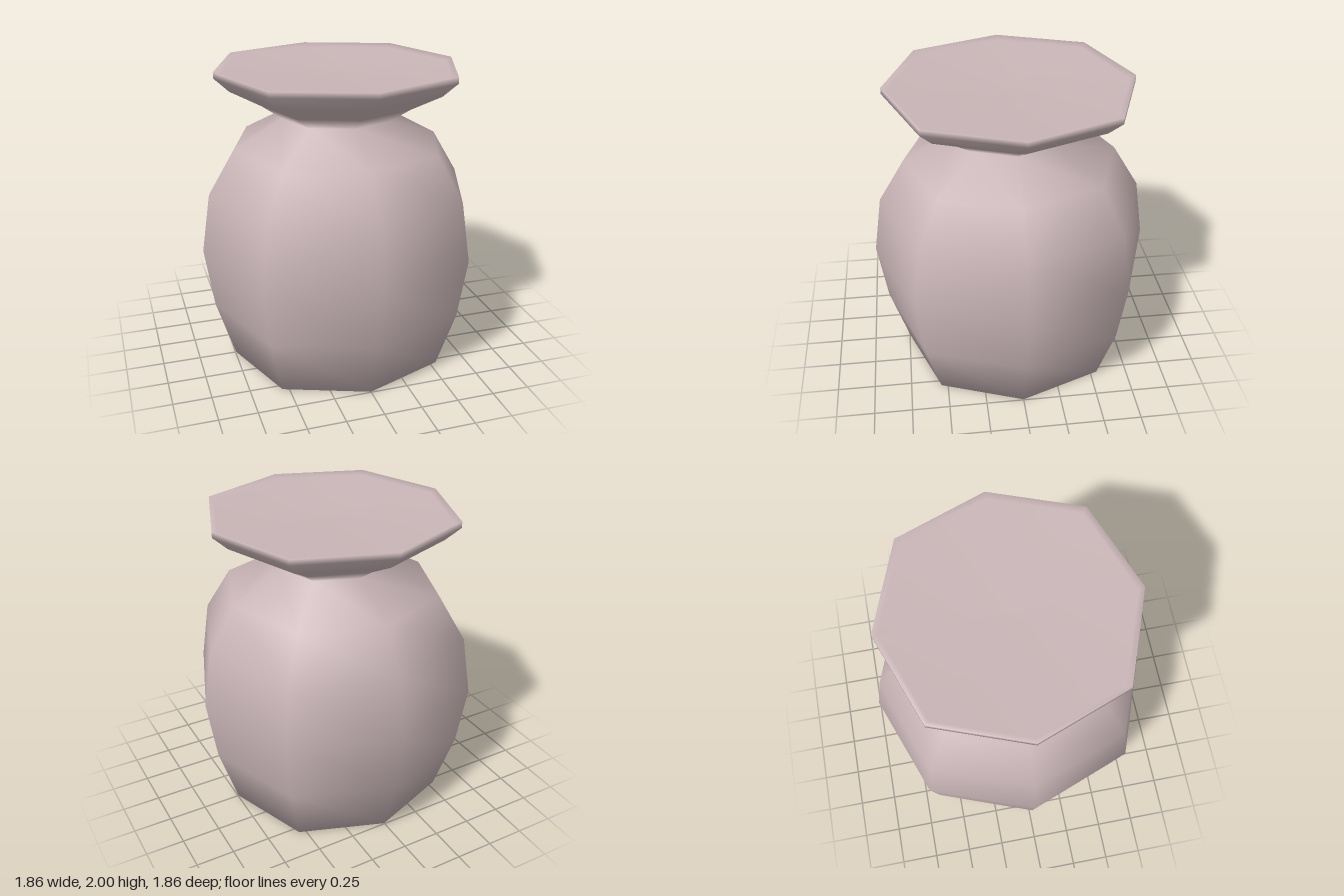
import * as THREE from 'three';

// Eight-sided pot with smooth normals
export function createModel() {
  const group = new THREE.Group();
  group.name = 'vase';

  const clay = new THREE.MeshStandardMaterial({ color: 0xc9b5b7 });
  clay.name = 'dusty pink clay';

  // Radius and height, from the base centre, up the wall, over the lip, to the dish centre
  const profile = [
    [0, 0], [0.745, 0],
    [0.87, 0.4], [0.93, 0.81], [0.87, 1.2], [0.695, 1.49],
    [0.37, 1.67],
    [0.5, 1.76], [0.705, 1.87], [0.8, 1.96],
    [0.8, 2], [0.765, 1.975], [0, 1.955],
  ].map(([r, y]) => new THREE.Vector2(r, y));

  const geometry = new THREE.LatheGeometry(profile, 8);

  // The diagonal corners stand slightly further out than those on the axes
  const pos = geometry.attributes.position;
  for (let i = 0; i < pos.count; i++) {
    const x = pos.getX(i), z = pos.getZ(i);
    if (Math.abs(x) > 0.01 && Math.abs(z) > 0.01) pos.setXYZ(i, x * 1.032, pos.getY(i), z * 1.032);
  }

  const body = new THREE.Mesh(geometry, clay);
  body.name = 'vaseBody';
  group.add(body);
  return group;
}
